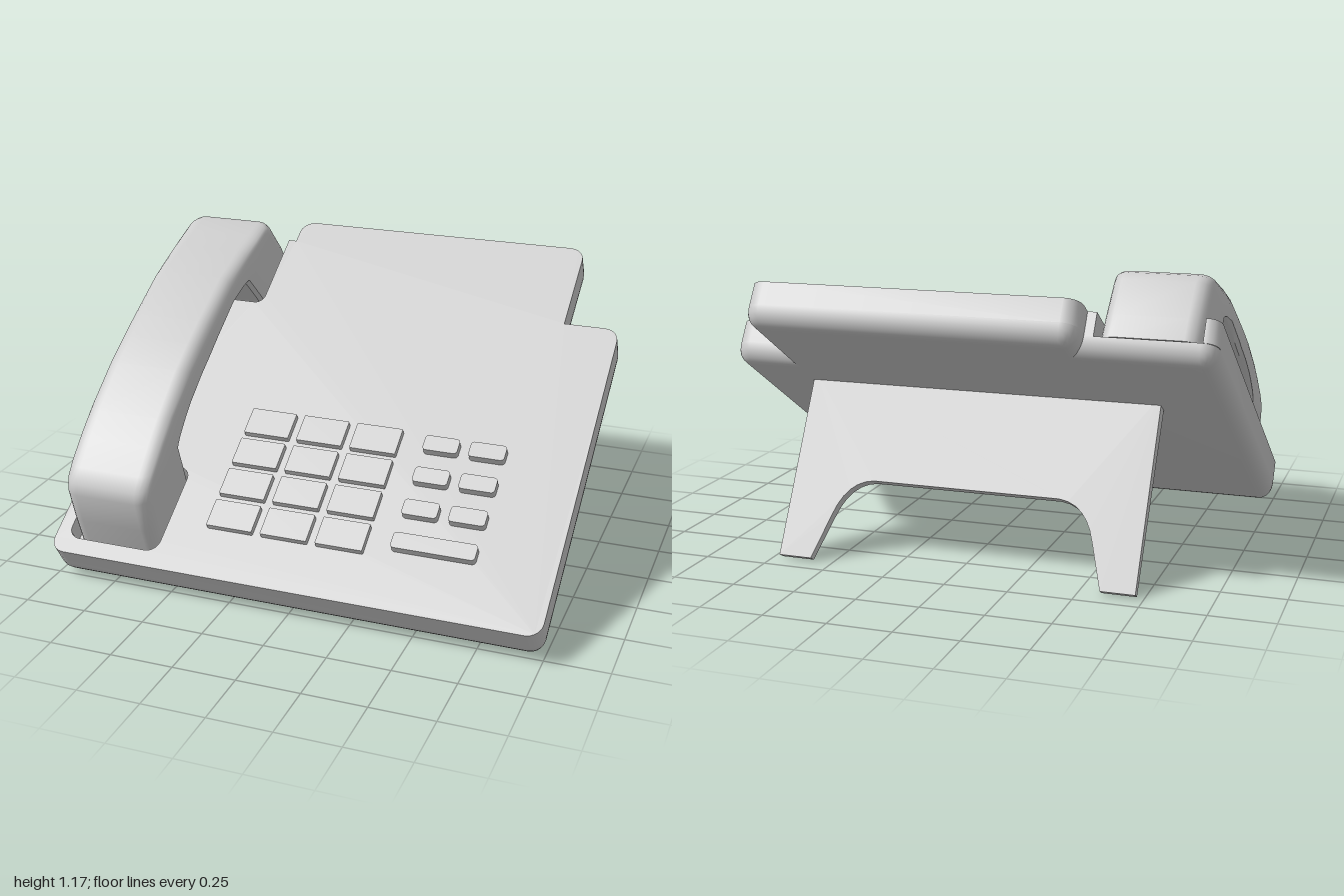
import * as THREE from 'three';
import { toCreasedNormals } from 'three/addons/utils/BufferGeometryUtils.js';

const TILT = THREE.MathUtils.degToRad(32);
const FLOOR = 0.46, TOP = 0.553, BOTTOM = 0.385; // heights in the tilted frame
const material = new THREE.MeshStandardMaterial({ color: 0xcccccc });

function addMesh(parent, name, geometry, crease = 0.6) {
  const mesh = new THREE.Mesh(toCreasedNormals(geometry, crease), material);
  mesh.name = name;
  parent.add(mesh);
  return mesh;
}

// Closed outline from [x, y, cornerRadius] points
function outline(points, Type = THREE.Shape) {
  const shape = new Type();
  const n = points.length;
  points.forEach(([x, y, r = 0], i) => {
    const [px, py] = points[(i + n - 1) % n];
    const [nx, ny] = points[(i + 1) % n];
    const a = new THREE.Vector2(px - x, py - y).normalize();
    const b = new THREE.Vector2(nx - x, ny - y).normalize();
    const k = r * 0.45;
    if (i === 0) shape.moveTo(x + a.x * r, y + a.y * r);
    else shape.lineTo(x + a.x * r, y + a.y * r);
    if (r > 0) {
      shape.bezierCurveTo(x + a.x * k, y + a.y * k, x + b.x * k, y + b.y * k, x + b.x * r, y + b.y * r);
    }
  });
  shape.closePath();
  return shape;
}

const rect = (x0, x1, y0, y1, r) => [[x0, y0, r], [x1, y0, r], [x1, y1, r], [x0, y1, r]];

// Slab lying flat, from height y0 up to y1
function slab(shape, y0, y1) {
  const g = new THREE.ExtrudeGeometry(shape, { depth: y1 - y0, bevelEnabled: false, curveSegments: 5 });
  return g.rotateX(-Math.PI / 2).translate(0, y0, 0);
}

function buildBody(parent) {
  const r = 0.06;
  const front = [[-1, -0.621, r], [1, -0.621, r], [1, 0.816, r], [0.77, 0.816], [0.77, 1.23, r], [-0.52, 1.23, r], [-0.52, 1.113]];

  // Lower shell: rounded underside, upper bevel flattened into the floor
  const bevel = 0.07, depth = FLOOR - BOTTOM - bevel;
  const lower = new THREE.ExtrudeGeometry(outline([...front, [-1, 1.113, r]]), {
    depth, bevelThickness: bevel, bevelSize: 0.055, bevelOffset: -0.055, bevelSegments: 5, curveSegments: 5,
  });
  const p = lower.attributes.position;
  for (let i = 0; i < p.count; i++) p.setZ(i, Math.min(p.getZ(i), depth));
  lower.rotateX(-Math.PI / 2).translate(0, BOTTOM + bevel, 0);
  addMesh(parent, 'lowerShell', lower);

  // Upper deck: open earpiece recess at the back, closed mouthpiece recess
  const deck = outline([
    ...front, [-0.555, 1.113], [-0.555, 0.74, 0.04], [-0.947, 0.74, 0.04], [-0.947, 1.113], [-1, 1.113, 0.05],
  ]);
  deck.holes.push(outline(rect(-0.947, -0.555, -0.55, -0.15, 0.05).reverse(), THREE.Path));
  addMesh(parent, 'upperDeck', slab(deck, FLOOR, TOP));
}

function buildKeys(parent) {
  const key = (name, x0, x1, z, size, height, r) =>
    addMesh(parent, name, slab(outline(rect(x0, x1, -z - size / 2, -z + size / 2, r)), TOP - 0.01, TOP + height));
  for (let row = 0; row < 4; row++) {
    const z = -0.108 + 0.151 * row;
    for (let col = 0; col < 3; col++) {
      const x = -0.387 + 0.228 * col;
      key('numberKey', x, x + 0.192, z, 0.122, 0.025, 0.004);
    }
    const zs = -0.119 + 0.152 * row;
    if (row < 3) {
      key('functionKey', 0.363, 0.505, zs, 0.07, 0.032, 0.015);
      key('functionKey', 0.55, 0.695, zs, 0.07, 0.032, 0.015);
    } else {
      key('longKey', 0.363, 0.695, zs, 0.07, 0.032, 0.015);
    }
  }
}

// Handset: stations of [outer z, outer y, inner z, inner y], rounded on the outer edges
function buildHandset(parent) {
  const stations = [
    [0.695, 0.11, 0.405, 0.29], [0.745, 0.25, 0.45, 0.42], [0.785, 0.38, 0.487, 0.52],
    [0.78, 0.425, 0.475, 0.54], [0.74, 0.48, 0.455, 0.565], [0.65, 0.572, 0.41, 0.61],
    [0.56, 0.655, 0.36, 0.655], [0.385, 0.795, 0.25, 0.73], [0.27, 0.868, 0.165, 0.782],
    [0.164, 0.93, 0.08, 0.838], [-0.058, 1.05, -0.07, 0.933], [-0.235, 1.115, -0.17, 0.97],
    [-0.36, 1.153, -0.21, 0.98], [-0.456, 1.182, -0.225, 0.982], [-0.485, 1.181, -0.23, 0.979],
    [-0.515, 1.162, -0.24, 0.97], [-0.628, 1.05, -0.345, 0.876], [-0.69, 0.98, -0.42, 0.8],
  ];
  const w = 0.182, cx = -0.752, r = 0.055, ri = 0.015, steps = 5;
  const pos = [], index = [];
  let n = 0;
  stations.forEach(([oz, oy, iz, iy]) => {
    const d = Math.hypot(oz - iz, oy - iy);
    const half = [[-w + ri, 0], [-w, ri]];
    for (let k = 0; k <= steps; k++) {
      const a = (k / steps) * Math.PI / 2;
      half.push([-w + r - r * Math.cos(a), d - r + r * Math.sin(a)]);
    }
    const ring = [...half, ...half.map(([x, s]) => [-x, s]).reverse()];
    n = ring.length;
    for (const [x, s] of ring) pos.push(cx + x, iy + (oy - iy) * s / d, iz + (oz - iz) * s / d);
  });
  const last = (stations.length - 1) * n;
  for (let i = 0; i < last; i += n) {
    for (let j = 0; j < n; j++) {
      const a = i + j, b = i + (j + 1) % n;
      index.push(a, b, b + n, a, b + n, a + n);
    }
  }
  for (let j = 1; j < n - 1; j++) index.push(0, j + 1, j, last, last + j, last + j + 1);
  const g = new THREE.BufferGeometry();
  g.setAttribute('position', new THREE.Float32BufferAttribute(pos, 3));
  g.setIndex(index);
  addMesh(parent, 'handset', g, 0.75);
}

// Rear stand: tapered plate with an arch between two legs
function buildStand(parent) {
  const W = 0.72, L = 0.73;
  const shape = new THREE.Shape();
  shape.moveTo(-W, 0.04);
  shape.lineTo(-W, -L);
  shape.lineTo(-W + 0.135, -L);
  shape.lineTo(-W + 0.19, -0.55);
  shape.quadraticCurveTo(-W + 0.23, -0.41, -W + 0.34, -0.4);
  shape.lineTo(W - 0.34, -0.4);
  shape.quadraticCurveTo(W - 0.23, -0.41, W - 0.19, -0.55);
  shape.lineTo(W - 0.135, -L);
  shape.lineTo(W, -L);
  shape.lineTo(W, 0.04);
  const g = new THREE.ExtrudeGeometry(shape, { depth: 1, bevelEnabled: false, curveSegments: 6 });
  g.translate(0, 0, -0.5);
  const p = g.attributes.position;
  for (let i = 0; i < p.count; i++) {
    p.setZ(i, p.getZ(i) * THREE.MathUtils.mapLinear(p.getY(i), 0, -L, 0.06, 0.032));
  }
  const stand = addMesh(parent, 'stand', g);
  stand.position.set(0, 0.645, -0.295);
  stand.rotation.x = 0.53;
}

export function createModel() {
  const model = new THREE.Group();
  model.name = 'deskTelephone';
  const base = new THREE.Group();
  base.name = 'base';
  base.rotation.x = TILT;
  model.add(base);
  buildBody(base);
  buildKeys(base);
  buildHandset(model);
  buildStand(model);
  return model;
}
